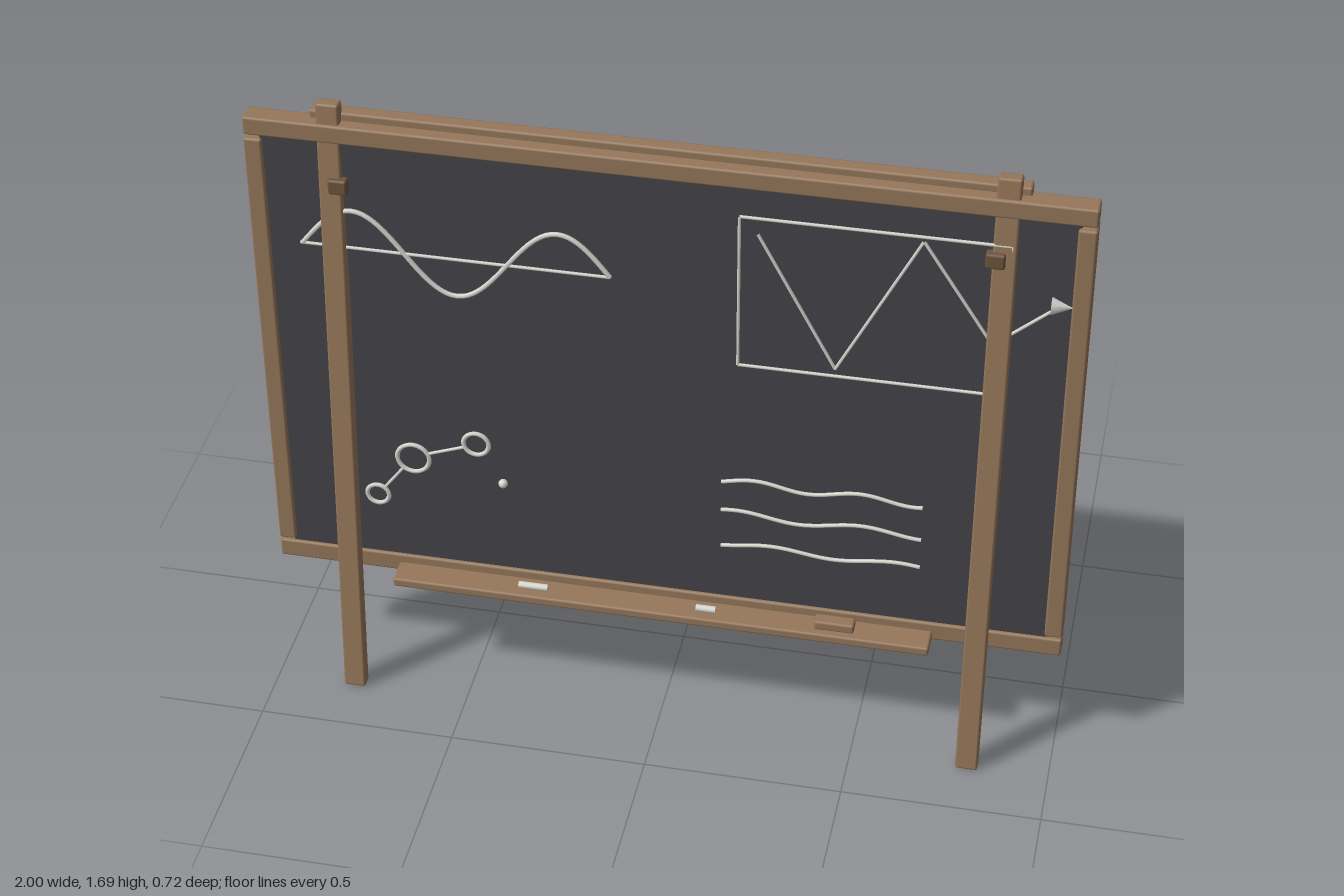
import * as THREE from 'three';
import { RoundedBoxGeometry } from 'three/addons/geometries/RoundedBoxGeometry.js';

const V = (x, y, z) => new THREE.Vector3(x, y, z);

export function createModel() {
  const model = new THREE.Group();
  model.name = 'chalkboardEasel';

  const material = (name, color) => {
    const m = new THREE.MeshStandardMaterial({ color });
    m.name = name;
    return m;
  };
  const wood = material('wood', 0x96775a);
  const darkWood = material('darkWood', 0x6e543d);
  const slate = material('slate', 0x444348);
  const chalk = material('chalk', 0xd8d8d0);

  const add = (name, geometry, mat, parent = model) => {
    const mesh = new THREE.Mesh(geometry, mat);
    mesh.name = name;
    parent.add(mesh);
    return mesh;
  };
  // Softly bevelled block given by its min and max corners
  const block = (name, x0, x1, y0, y1, z0, z1, mat = wood) => {
    const size = [x1 - x0, y1 - y0, z1 - z0];
    const bevel = Math.min(0.006, Math.min(...size) * 0.3);
    const mesh = add(name, new RoundedBoxGeometry(...size, 1, bevel), mat);
    mesh.position.set((x0 + x1) / 2, (y0 + y1) / 2, (z0 + z1) / 2);
    return mesh;
  };
  // Bevelled beam between two points
  const beam = (name, a, b, w, d) => {
    const mesh = add(name, new RoundedBoxGeometry(w, a.distanceTo(b), d, 1, 0.006), wood);
    mesh.position.copy(a).add(b).multiplyScalar(0.5);
    mesh.quaternion.setFromUnitVectors(V(0, 1, 0), b.clone().sub(a).normalize());
    return mesh;
  };

  // Board and frame
  block('board', -0.965, 0.965, 0.36, 1.61, 0.212, 0.249, slate);
  block('topRail', -1, 1, 1.592, 1.64, 0.203, 0.257);
  block('bottomRail', -1, 1, 0.325, 0.376, 0.203, 0.257);
  block('topCleat', -0.845, 0.845, 1.625, 1.66, 0.187, 0.225);
  for (const s of [-1, 1]) {
    block('sideStile', s * 0.978 - 0.022, s * 0.978 + 0.022, 0.385, 1.584, 0.2, 0.26);
  }

  // Legs with their clips
  for (const s of [-1, 1]) {
    beam('frontLeg', V(s * 0.795, 0.002, 0.343), V(s * 0.795, 1.69, 0.228), 0.056, 0.036);
    beam('rearLeg', V(s * 0.81, 0.008, -0.343), V(s * 0.78, 1.4, 0.215), 0.05, 0.038);
    block('legClip', s * 0.775 - 0.023, s * 0.775 + 0.023, 1.46, 1.5, 0.24, 0.272, darkWood);
  }
  block('rearCrossbar', -0.775, 0.775, 0.428, 0.46, -0.21, -0.182);

  // Tray with eraser and chalk sticks
  block('tray', -0.685, 0.68, 0.327, 0.352, 0.25, 0.325);
  block('eraser', 0.39, 0.49, 0.35, 0.376, 0.27, 0.306);
  for (const [x, length] of [[-0.327, 0.075], [0.115, 0.05]]) {
    const stick = add('chalkStick', new THREE.CylinderGeometry(0.009, 0.009, length, 10), chalk);
    stick.rotation.z = Math.PI / 2;
    stick.position.set(x, 0.36, 0.292);
  }

  // Chalk drawings, raised slightly from the board
  const drawings = new THREE.Group();
  drawings.name = 'chalkDrawings';
  drawings.position.z = 0.255;
  model.add(drawings);

  const line = (name, x0, y0, x1, y1, r = 0.004) => {
    const path = new THREE.LineCurve3(V(x0, y0, 0), V(x1, y1, 0));
    add(name, new THREE.TubeGeometry(path, 1, r, 6), chalk, drawings);
  };
  const polyline = (name, points) => {
    for (let i = 1; i < points.length; i++) line(name, ...points[i - 1], ...points[i]);
  };
  const wave = (name, x0, x1, y, amplitude, cycles, phase, r) => {
    const points = [];
    for (let i = 0; i <= 36; i++) {
      const t = i / 36;
      points.push(V(x0 + (x1 - x0) * t, y + amplitude * Math.sin(t * cycles * 2 * Math.PI + phase), 0));
    }
    add(name, new THREE.TubeGeometry(new THREE.CatmullRomCurve3(points), 72, r, 6), chalk, drawings);
  };

  // Sine graph on its axis
  wave('sineCurve', -0.875, -0.125, 1.305, 0.105, 1.5, 0, 0.006);
  line('sineAxis', -0.88, 1.305, -0.125, 1.305);

  // Framed zigzag chart ending in an arrowhead
  polyline('chartFrame', [[0.182, 1.097], [0.182, 1.517], [0.812, 1.517], [0.812, 1.097], [0.182, 1.097]]);
  polyline('zigzag', [[0.225, 1.475], [0.415, 1.118], [0.61, 1.505], [0.78, 1.24], [0.93, 1.37]]);
  const arrow = add('arrowhead', new THREE.ConeGeometry(0.022, 0.05, 10), chalk, drawings);
  arrow.rotation.z = -Math.PI / 2;
  arrow.position.set(0.935, 1.375, 0.01);

  // Linked circles and a dot
  for (const [x, y, r] of [[-0.73, 0.565, 0.028], [-0.633, 0.692, 0.041], [-0.47, 0.76, 0.032]]) {
    add('circle', new THREE.TorusGeometry(r, 0.006, 6, 28), chalk, drawings).position.set(x, y, 0);
  }
  line('circleLink', -0.712, 0.588, -0.66, 0.658);
  line('circleLink', -0.592, 0.712, -0.502, 0.746);
  add('dot', new THREE.SphereGeometry(0.012, 10, 8), chalk, drawings).position.set(-0.405, 0.647, 0);

  // Three wavy writing strokes
  wave('wavyStroke', 0.145, 0.64, 0.743, 0.01, 1.9, -0.4, 0.005);
  wave('wavyStroke', 0.145, 0.64, 0.645, 0.01, 1.6, 0.8, 0.005);
  wave('wavyStroke', 0.145, 0.64, 0.547, 0.008, 1.6, -1, 0.005);

  return model;
}
